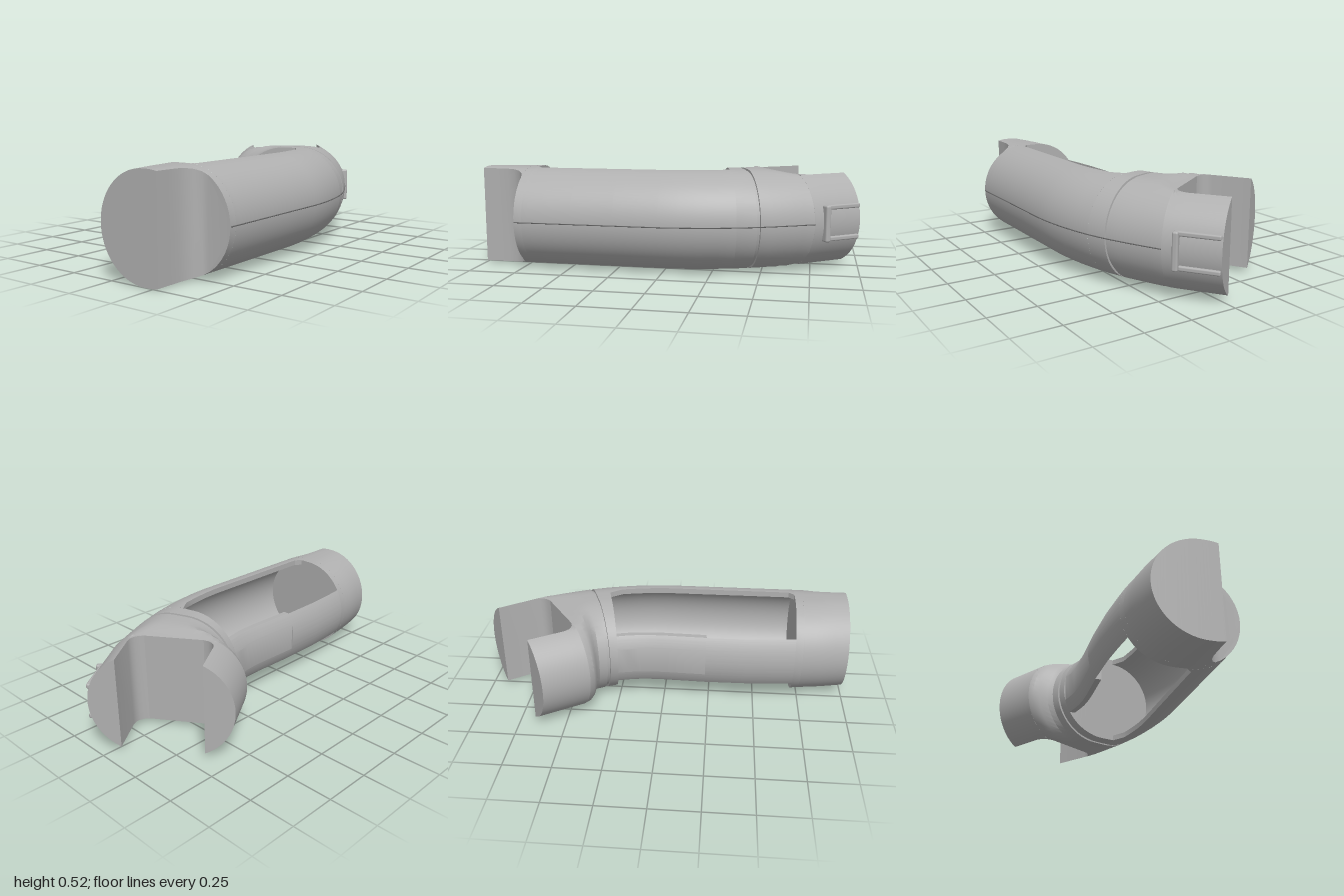
import * as THREE from 'three';
import { toCreasedNormals } from 'three/addons/utils/BufferGeometryUtils.js';
import { RoundedBoxGeometry } from 'three/addons/geometries/RoundedBoxGeometry.js';

const R = 0.262, MID = 0.262, N = 28;

// Points of one section edge: b = back point, f = front point (x, z),
// lo..hi = kept range measured from the back, inset shrinks the rounded outline.
function edge({ b, f, lo = 0, hi, cap = 1, inset = 0 }, sign) {
  const w = Math.hypot(f[0] - b[0], f[1] - b[1]);
  const r = R - inset, start = Math.max(lo, inset), end = Math.min(hi ?? w, w - inset);
  const pts = [];
  for (let k = 0; k <= N; k++) {
    const u = start + (end - start) * (1 - Math.cos(Math.PI * k / N)) / 2;
    const d = Math.max(0, r - Math.min(u - inset, w - inset - u));
    const h = Math.min(cap, Math.sqrt(Math.max(0, r * r - d * d)));
    const t = u / w;
    pts.push([b[0] + (f[0] - b[0]) * t, MID + sign * h, b[1] + (f[1] - b[1]) * t]);
  }
  return pts;
}

const solidRing = s => [...edge(s, 1), ...edge(s, -1).reverse()];

// C-shaped ring for a hollow wall
function hollowRing(s) {
  const inner = { ...s, inset: 0.03 };
  return [...solidRing(s), ...edge(inner, -1), ...edge(inner, 1).reverse()];
}

function sweep(stations, ringOf, capped) {
  const rings = stations.map(ringOf), out = [];
  const quad = (a, b, c, d) => out.push(...a, ...b, ...c, ...a, ...c, ...d);
  const m = rings[0].length;
  for (let i = 0; i + 1 < rings.length; i++) {
    for (let j = 0; j < m; j++) {
      const k = (j + 1) % m;
      quad(rings[i][j], rings[i][k], rings[i + 1][k], rings[i + 1][j]);
    }
  }
  if (capped) {
    const s = rings[0], e = rings[rings.length - 1];
    for (let k = 0; k < N; k++) {
      quad(e[k], e[k + 1], e[m - 2 - k], e[m - 1 - k]);
      quad(s[k + 1], s[k], s[m - 1 - k], s[m - 2 - k]);
    }
  }
  const g = new THREE.BufferGeometry();
  g.setAttribute('position', new THREE.Float32BufferAttribute(out, 3));
  return toCreasedNormals(g, 0.5);
}

export function createModel() {
  const model = new THREE.Group();
  model.name = 'bentSleeve';
  const grey = new THREE.MeshStandardMaterial({ color: 0xb0b0b0 });
  grey.name = 'grey';
  const dark = new THREE.MeshStandardMaterial({ color: 0x6a6a6a });
  dark.name = 'darkGrey';
  const add = (name, geometry, material = grey, parent = model) => {
    const mesh = new THREE.Mesh(geometry, material);
    mesh.name = name;
    parent.add(mesh);
    return mesh;
  };
  const station = (bx, bz, fx, fz, extra = {}) => ({ b: [bx, bz], f: [fx, fz], ...extra });

  // Left end block with the filleted notch at its front: x, back z, front cut z
  const notch = [
    [-1, -0.06, 0.28], [-0.92, -0.078, 0.28], [-0.86, -0.09, 0.282], [-0.82, -0.096, 0.29],
    [-0.785, -0.101, 0.308], [-0.76, -0.105, 0.335], [-0.752, -0.106, 0.365],
    [-0.752, -0.106, 0.484], [-0.71, -0.114, 0.484],
  ];
  add('leftEnd', sweep(notch.map(([x, z, cut]) => station(x, z, x, 0.484, { hi: cut - z })), solidRing, true));

  // Stations along the open middle: back x, back z, front x, front z
  const middle = [
    [-0.71, -0.114, -0.71, 0.484], [-0.68, -0.118, -0.68, 0.484], [-0.6, -0.126, -0.6, 0.484],
    [-0.45, -0.137, -0.45, 0.484], [-0.23, -0.14, -0.23, 0.484], [0, -0.133, 0, 0.484],
    [0.07, -0.134, 0.1, 0.477], [0.13, -0.139, 0.2, 0.463], [0.19, -0.15, 0.3, 0.443],
    [0.24, -0.163, 0.39, 0.42],
  ];

  // Front wall: hollow shell between the upper and lower windows
  add('frontWall', sweep(middle.map((p, i) => {
    const w = Math.hypot(p[2] - p[0], p[3] - p[1]);
    const corner = i === 0 || i === middle.length - 1 ? 0.03 : 0;
    return station(...p, { lo: w - 0.24 - corner });
  }), hollowRing, false));

  // Back rail: thin at first, then thicker inside with a flat recess outside
  const thin = { hi: 0.04 }, thick = { lo: 0.01, hi: 0.072, cap: 0.14 };
  add('backRail', sweep([
    ...middle.slice(0, 5).map(p => station(...p, thin)),
    ...middle.slice(4).map(p => station(...p, thick)),
  ], solidRing, true));

  // Head with the ring groove, widening to the floor of the slot
  add('head', sweep([
    station(0.24, -0.163, 0.39, 0.42),
    station(0.28, -0.18, 0.49, 0.385),
    station(0.281, -0.18, 0.491, 0.385, { inset: 0.01 }),
    station(0.294, -0.187, 0.505, 0.379, { inset: 0.01 }),
    station(0.295, -0.187, 0.506, 0.379),
    station(0.335, -0.21, 0.56, 0.356),
    station(0.345, -0.24, 0.61, 0.333, { cap: 0.261 }),
    station(0.337, -0.29, 0.67, 0.305, { cap: 0.256 }),
    station(0.342, -0.325, 0.72, 0.28, { cap: 0.245 }),
    station(0.36, -0.35, 0.77, 0.255, { cap: 0.238 }),
  ], solidRing, true));

  // Two prongs with filleted roots, flat on the slot side
  const floorB = [0.36, -0.35], floorF = [0.77, 0.255], endB = [0.58, -0.49], endF = [1, 0.09];
  const mix = (p, q, t) => [p[0] + (q[0] - p[0]) * t, p[1] + (q[1] - p[1]) * t];
  const thickness = [[0, 0.215], [0.03, 0.19], [0.08, 0.17], [0.15, 0.156], [0.25, 0.15], [1, 0.15]];
  for (const front of [false, true]) {
    add(front ? 'frontProng' : 'backProng', sweep(thickness.map(([t, width]) => {
      const b = mix(floorB, endB, t), f = mix(floorF, endF, t);
      const w = Math.hypot(f[0] - b[0], f[1] - b[1]);
      return { b, f, cap: 0.238, lo: front ? w - width : 0, hi: front ? w : width };
    }), solidRing, true));
  }

  // Raised clip frame on the outside of the front prong
  const clip = new THREE.Group();
  clip.name = 'clipFrame';
  clip.position.set(floorF[0], MID, floorF[1]);
  clip.rotation.y = 0.62;
  model.add(clip);
  for (const side of [-1, 1]) {
    add('clipRail', new RoundedBoxGeometry(0.21, 0.025, 0.035, 2, 0.008), grey, clip)
      .position.set(0.173, side * 0.082, -0.014);
  }
  add('clipBar', new RoundedBoxGeometry(0.03, 0.19, 0.045, 2, 0.01), grey, clip).position.set(0.07, 0, 0);

  // Fine seam along the front
  const seam = [[-0.75, 0.484], ...middle.slice(1).map(p => [p[2], p[3]]), [0.49, 0.385], [0.61, 0.333], [0.77, 0.255]];
  const path = new THREE.CatmullRomCurve3(seam.map(([x, z]) => new THREE.Vector3(x, MID, z)));
  add('frontSeam', new THREE.TubeGeometry(path, 60, 0.003, 6), dark);

  return model;
}
